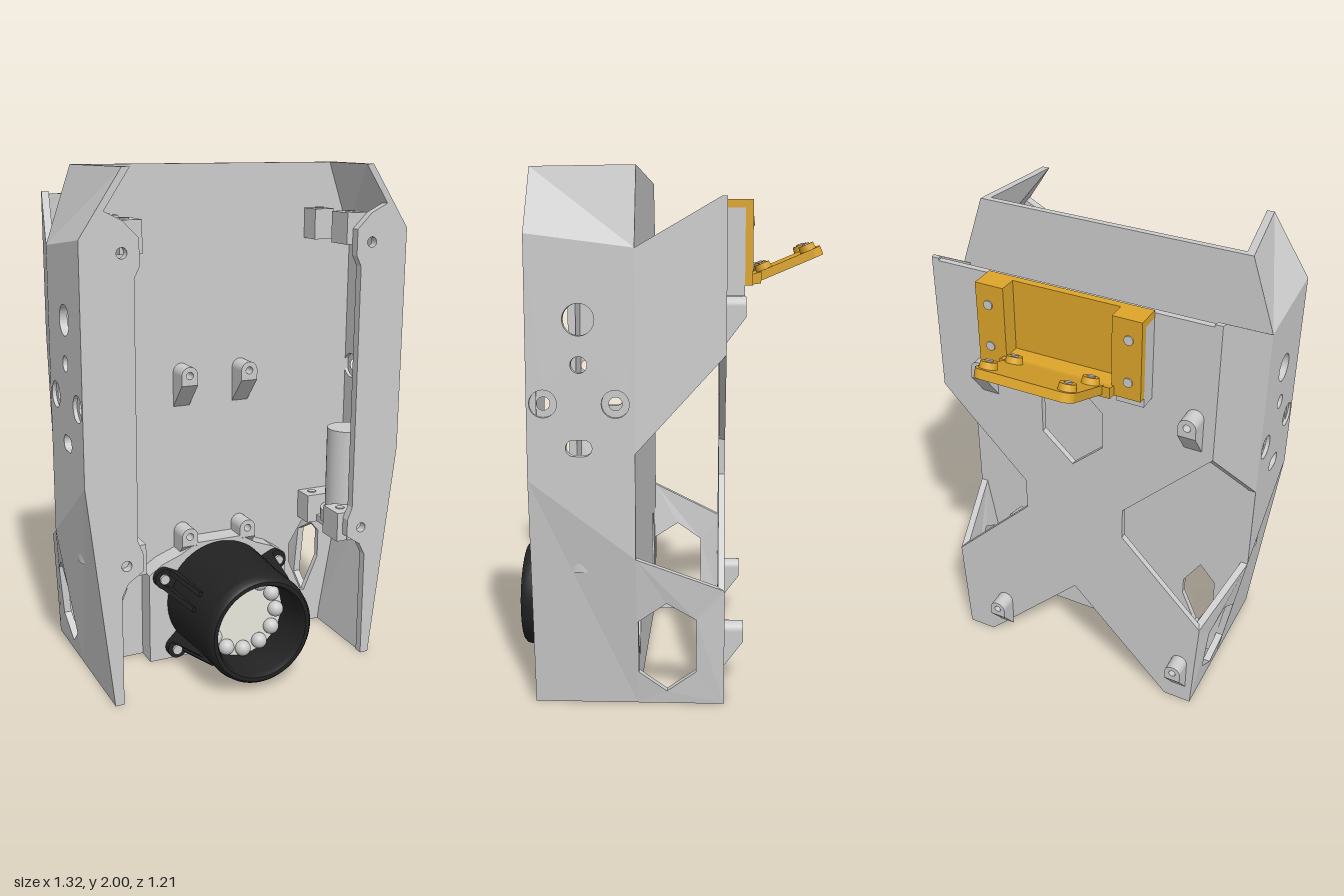
import * as THREE from 'three';
import { toCreasedNormals } from 'three/addons/utils/BufferGeometryUtils.js';

const mat = (color) => new THREE.MeshStandardMaterial({ color, side: THREE.DoubleSide });
const grey = mat(0xcccccc), black = mat(0x222222), gold = mat(0xdda52a), ivory = mat(0xe8e8dc);

function add(parent, name, geo, material = grey, x = 0, y = 0, z = 0) {
  const m = new THREE.Mesh(geo, material);
  m.name = name;
  m.position.set(x, y, z);
  parent.add(m);
  return m;
}
// Box given by its limits
function box(parent, name, x0, x1, y0, y1, z0, z1, material = grey) {
  return add(parent, name, new THREE.BoxGeometry(x1 - x0, y1 - y0, z1 - z0), material,
    (x0 + x1) / 2, (y0 + y1) / 2, (z0 + z1) / 2);
}
const poly = (pts) => new THREE.Shape(pts.map(([a, b]) => new THREE.Vector2(a, b)));
const circle = (x, y, r) => new THREE.Path().absarc(x, y, r, 0, Math.PI * 2, true);
const mirrorPts = (pts) => [...pts, ...pts.slice().reverse().map(([x, y]) => [-x, y])];

function plate(shape, depth, holes = []) {
  shape.holes.push(...holes);
  return new THREE.ExtrudeGeometry(shape, { depth, bevelEnabled: false, curveSegments: 20 });
}
function rod(r, depth, seg = 24) {
  return new THREE.CylinderGeometry(r, r, depth, seg).rotateX(Math.PI / 2);
}

// Outer surface of the faceted side shell: x as a function of z and y
function shellX(z, y) {
  const mix = THREE.MathUtils.lerp;
  if (z < 0.0999) {
    const front = Math.min(0.66, 0.56 + 0.1 * y / 0.59);
    const back = 0.56 + 0.02 * Math.min(1, y / 0.45);
    return mix(front, back, (0.1 - z) / 0.325);
  }
  const t = (z - 0.1) / 0.39, low = 0.59 + 0.29 * t, high = 1.71 + 0.05 * t;
  if (y < low) return 0.56 + 0.1 * y / low;
  if (y > high) return mix(0.66, 0.56 - 0.06 * t, (y - high) / (2 - high));
  return 0.66;
}
// Panel drawn in z-y and bent onto the shell surface
function panel(pts, holes = [], thick = 0.03) {
  const g = plate(poly(pts), 1, holes), p = g.attributes.position;
  for (let i = 0; i < p.count; i++) {
    const z = p.getX(i), y = p.getY(i), d = p.getZ(i);
    p.setXYZ(i, shellX(z, y) - thick * d, y, z);
  }
  g.computeVertexNormals();
  return g;
}

// Standoff with a round top, a screw hole and a sloped foot
function standoffGeo(depth) {
  const s = new THREE.Shape();
  s.moveTo(-0.035, -0.04);
  s.lineTo(0.035, -0.04);
  s.absarc(0, 0, 0.035, 0, Math.PI, false);
  const g = plate(s, depth, [circle(0, 0, 0.015)]), p = g.attributes.position;
  for (let i = 0; i < p.count; i++) if (p.getY(i) < -0.039 && p.getZ(i) < 0.001) p.setY(i, -0.14);
  g.computeVertexNormals();
  return g;
}

function buildSide() {
  const side = new THREE.Group();
  side.name = 'sideShell';
  // Outer wall in three facets
  add(side, 'lowerWall', panel([[0.1, 0], [0.49, 0], [0.49, 0.88], [0.1, 0.59]]));
  add(side, 'upperWall', panel([[0.1, 1.71], [0.49, 1.76], [0.49, 2], [0.1, 2]]));
  const slot = new THREE.Path();
  slot.absarc(0.32, 1.0, 0.03, -Math.PI / 2, Math.PI / 2, false);
  slot.absarc(0.285, 1.0, 0.03, Math.PI / 2, Math.PI * 1.5, false);
  const screws = [[0.43, 1.16], [0.17, 1.16]];
  add(side, 'middleWall', panel([[0.1, 0.59], [0.49, 0.88], [0.49, 1.76], [0.1, 1.71]],
    [circle(0.3, 1.46, 0.057), circle(0.3, 1.3, 0.03), slot, ...screws.map(([z, y]) => circle(z, y, 0.05))]));
  for (const [z, y] of screws)
    add(side, 'screwSeat', new THREE.RingGeometry(0.024, 0.052, 24).rotateY(Math.PI / 2), grey, 0.645, y, z);
  // Flanges running to the back plate
  add(side, 'upperFlange', panel([[0.1, 0.98], [0.1, 1.71], [-0.205, 1.89], [-0.225, 1.89], [-0.225, 1.33]]));
  const hex = poly([[-0.01, 0.41], [0.095, 0.34], [0.095, 0.13], [-0.01, 0.05], [-0.12, 0.13], [-0.12, 0.34]]);
  add(side, 'lowerFlange', panel([[0.1, 0], [0.1, 0.59], [-0.225, 0.45], [-0.225, 0]], [hex]));
  // Front lip of the side channel, with screw tabs
  const lip = poly([[0.55, 0], [0.65, 0.88], [0.65, 1.76], [0.58, 1.86], [0.5, 1.82], [0.44, 1.76], [0.44, 1.66],
    [0.46, 1.62], [0.46, 0.65], [0.44, 0.6], [0.44, 0.53], [0.5, 0.49], [0.525, 0.44], [0.525, 0]]);
  add(side, 'frontLip', plate(lip, 0.035, [circle(0.505, 1.71, 0.02), circle(0.505, 0.56, 0.02)]), grey, 0, 0, 0.455);
  // Channel ends with clamp blocks
  box(side, 'channelFloor', 0.46, 0.61, 0.5, 0.53, 0.12, 0.46);
  for (const y of [0.5, 1.7])
    for (const [z0, z1] of [[0.12, 0.212], [0.34, 0.455]]) {
      box(side, 'clampBlock', 0.415, y > 1 ? 0.5 : 0.6, y, y + 0.12, z0, z1);
      add(side, 'clampBolt', new THREE.CylinderGeometry(0.018, 0.018, 0.006, 6), grey, 0.46, y + 0.122, (z0 + z1) / 2);
    }
  add(side, 'channelCylinder', new THREE.CylinderGeometry(0.085, 0.085, 0.4, 32), grey, 0.545, 0.73, 0.3);
  add(side, 'cylinderFoot', new THREE.CylinderGeometry(0.095, 0.095, 0.05, 32), grey, 0.535, 0.555, 0.3);
  return side;
}

function buildLamp() {
  const lamp = new THREE.Group();
  lamp.name = 'lamp';
  lamp.position.y = 0.25;
  const profile = [[0, 0.22], [0.235, 0.22], [0.222, 0.45], [0.222, 0.57], [0.215, 0.6], [0.205, 0.61],
    [0.19, 0.61], [0.18, 0.59], [0.178, 0.42], [0, 0.42]].map(([r, z]) => new THREE.Vector2(r, z));
  add(lamp, 'lampCup', toCreasedNormals(new THREE.LatheGeometry(profile, 64).rotateX(Math.PI / 2), 0.6), black);
  add(lamp, 'lampFace', rod(0.177, 0.01, 48), ivory, 0, 0, 0.425);
  for (let i = 0; i < 12; i++) {
    const a = i * Math.PI / 6;
    add(lamp, 'bulb', new THREE.SphereGeometry(0.032, 20, 14), grey, 0.145 * Math.cos(a), 0.145 * Math.sin(a), 0.44);
  }
  // Screw ears with tapered ribs
  for (const deg of [25, 155, -44, -136]) {
    const ear = new THREE.Group();
    ear.name = 'lampEar';
    ear.rotation.z = deg * Math.PI / 180;
    lamp.add(ear);
    add(ear, 'earPad', rod(0.042, 0.03), black, 0.28, 0, 0.23);
    box(ear, 'earArm', 0.2, 0.28, -0.042, 0.042, 0.215, 0.245, black);
    const rib = poly([[0.2, 0.24], [0.275, 0.24], [0.232, 0.45], [0.2, 0.45]]);
    for (const y of [0.042, -0.024])
      add(ear, 'earRib', plate(rib, 0.018).rotateX(Math.PI / 2), black, 0, y, 0);
    add(ear, 'earScrew', rod(0.02, 0.012), grey, 0.285, 0, 0.25);
  }
  return lamp;
}

function buildBracket() {
  const b = new THREE.Group();
  b.name = 'rearBracket';
  box(b, 'bracketBack', -0.23, 0.23, 1.57, 1.89, -0.255, -0.225, gold);
  for (const s of [-1, 1]) {
    const [x0, x1] = s > 0 ? [0.22, 0.33] : [-0.33, -0.22];
    box(b, 'mountBlock', x0, x1, 1.53, 1.86, -0.295, -0.22);
    box(b, 'sideColumn', x0, x1, 1.57, 1.89, -0.325, -0.295, gold);
    box(b, 'columnCap', x0, x1, 1.86, 1.89, -0.295, -0.225, gold);
    box(b, 'columnCheek', s > 0 ? 0.215 : -0.23, s > 0 ? 0.23 : -0.215, 1.57, 1.89, -0.325, -0.225, gold);
    for (const y of [1.64, 1.81]) add(b, 'columnScrew', rod(0.018, 0.008), grey, s * 0.28, y, -0.326);
  }
  const ledge = poly([[-0.225, 1.57], [-0.325, 1.57], [-0.36, 1.575], [-0.36, 1.62], [-0.325, 1.61], [-0.225, 1.61]]);
  add(b, 'ledge', plate(ledge, 0.45).rotateY(-Math.PI / 2), gold, 0.225, 0, 0);
  // Tilted tray with rounded outer corners
  const tray = new THREE.Group();
  tray.name = 'tray';
  tray.position.set(0, 1.58, -0.35);
  tray.rotation.x = 0.4;
  b.add(tray);
  const s = new THREE.Shape();
  s.moveTo(-0.195, 0);
  s.lineTo(0.195, 0);
  s.absarc(0.155, 0.235, 0.04, 0, Math.PI / 2, false);
  s.absarc(-0.155, 0.235, 0.04, Math.PI / 2, Math.PI, false);
  add(tray, 'trayPlate', plate(s, 0.035).rotateX(-Math.PI / 2), gold);
  for (const x of [-0.155, 0.155])
    for (const z of [-0.04, -0.225]) {
      add(tray, 'trayBoss', new THREE.CylinderGeometry(0.03, 0.034, 0.03, 24), gold, x, 0.045, z);
      add(tray, 'trayScrew', new THREE.CylinderGeometry(0.015, 0.015, 0.005, 16), grey, x, 0.062, z);
    }
  return b;
}

export function createModel() {
  const model = new THREE.Group();
  model.name = 'backpackFrame';

  // Front plate with two long openings
  const opening = (s) => poly([[0.45, 0.5], [0.52, 0.42], [0.52, 0.3], [0.455, 0.15], [0.44, 0.15], [0.375, 0.3],
    [0.375, 0.38]].map(([x, y]) => [s * x, y]));
  const frontOutline = mirrorPts([[0.545, 0], [0.645, 0.59], [0.645, 1.71], [0.545, 2]]);
  add(model, 'frontPlate', plate(poly(frontOutline), 0.025, [opening(1), opening(-1)]), grey, 0, 0, 0.1);

  // Cross-shaped back plate
  const backOutline = mirrorPts([[0, 0.46], [0.44, 0], [0.56, 0], [0.58, 0.45], [0.22, 0.82], [0.22, 0.96],
    [0.58, 1.33], [0.58, 1.88]]);
  const window = poly([[0, 1.52], [0.13, 1.4], [0.13, 1.24], [0, 1.12], [-0.13, 1.24], [-0.13, 1.4]]);
  add(model, 'backPlate', plate(poly(backOutline), 0.025, [window]), grey, 0, 0, -0.225);

  // Side shells, mirrored
  const left = buildSide(), right = buildSide();
  right.scale.x = -1;
  model.add(left, right);

  // Lamp and its mount
  const mount = mirrorPts([[0.31, 0], [0.31, 0.38], [0.25, 0.42], [0.17, 0.45], [0.1, 0.49]]);
  add(model, 'lampMount', plate(poly(mount), 0.09), grey, 0, 0, 0.122);
  model.add(buildLamp());

  // Standoffs, front and back
  for (const x of [-0.13, 0.13])
    for (const y of [0.52, 1.19]) add(model, 'frontStandoff', standoffGeo(0.088), grey, x, y, 0.125);
  for (const x of [-0.5, 0.36])
    for (const y of [0.225, 1.495]) add(model, 'backStandoff', standoffGeo(0.075), grey, x, y, -0.225).rotation.y = Math.PI;

  model.add(buildBracket());
  return model;
}
